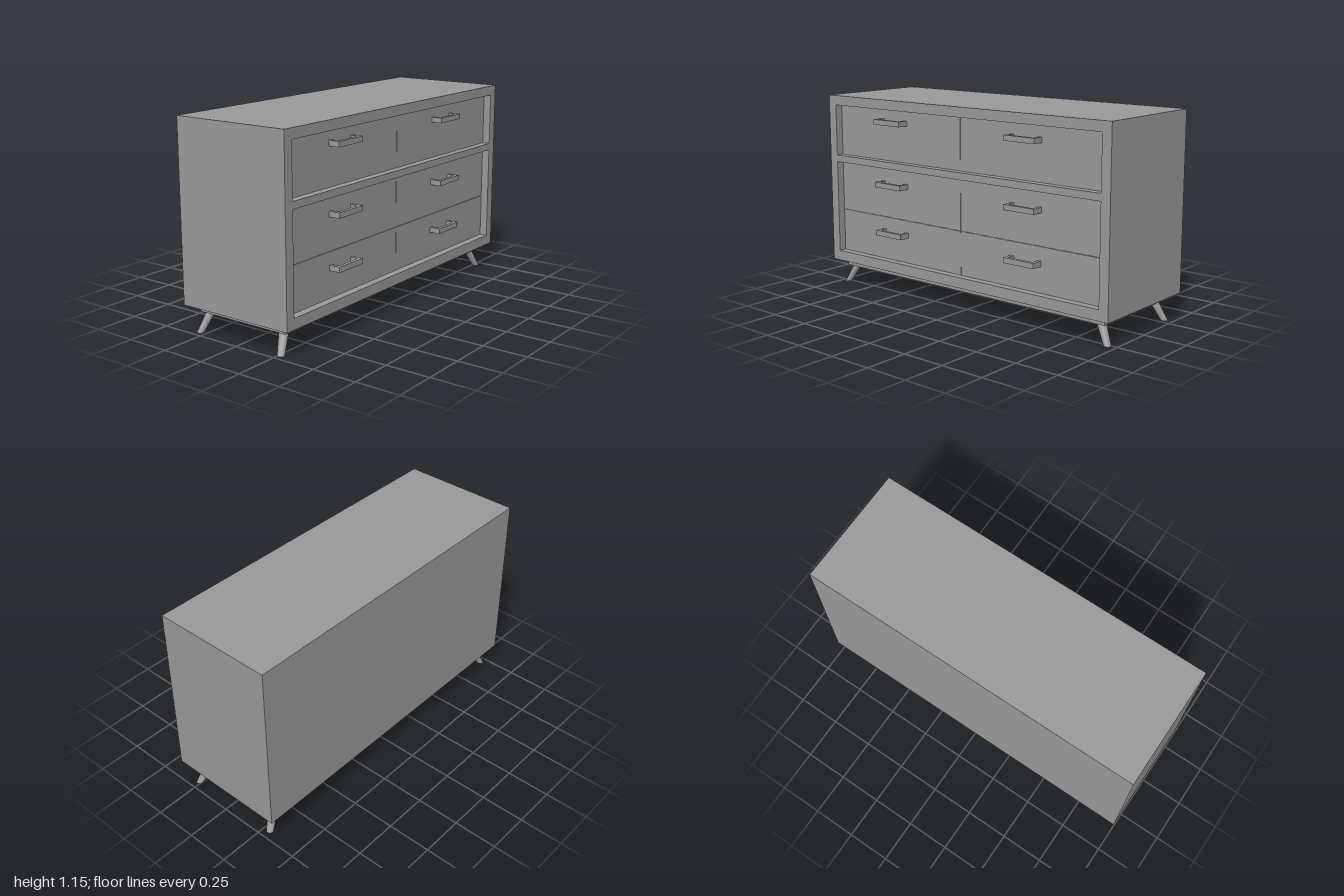
import * as THREE from 'three';

const material = new THREE.MeshStandardMaterial({ color: 0x9b9b9b });

function add(parent, name, geometry) {
  const mesh = new THREE.Mesh(geometry, material);
  mesh.name = name;
  parent.add(mesh);
  return mesh;
}

// Box given by its minimum and maximum corners
function box(parent, name, [x0, y0, z0], [x1, y1, z1]) {
  const geometry = new THREE.BoxGeometry(x1 - x0, y1 - y0, z1 - z0);
  geometry.translate((x0 + x1) / 2, (y0 + y1) / 2, (z0 + z1) / 2);
  return add(parent, name, geometry);
}

const polygon = (Type, points) => new Type(points.map(([x, y]) => new THREE.Vector2(x, y)));
const rectangle = (Type, x0, y0, x1, y1) =>
  polygon(Type, [[x0, y0], [x1, y0], [x1, y1], [x0, y1]]);

const FRONT = 0.34, BACK = -0.36, DRAWER = 0.295, RECESS = 0.275;
const BOTTOM = 0.147, TOP = 1.146, INNER = 0.944;

// U-shaped pull: a bar on two short posts
function handle(x, y) {
  const w = 0.1, t = 0.02, depth = 0.36 - DRAWER;
  const shape = polygon(THREE.Shape, [
    [-w, 0], [-w + t, 0], [-w + t, depth - t], [w - t, depth - t],
    [w - t, 0], [w, 0], [w, depth], [-w, depth],
  ]);
  const geometry = new THREE.ExtrudeGeometry(shape, { depth: 0.03, bevelEnabled: false });
  geometry.rotateX(Math.PI / 2);
  geometry.translate(x, y + 0.015, DRAWER);
  return geometry;
}

// Tapered leg, sheared so that it splays outwards with a level foot
function leg(topX, topZ, footX, footZ) {
  const height = 0.112;
  const geometry = new THREE.CylinderGeometry(0.026, 0.02, height, 24);
  geometry.translate(0, height / 2, 0);
  const p = geometry.attributes.position;
  for (let i = 0; i < p.count; i++) {
    const t = p.getY(i) / height;
    p.setX(i, p.getX(i) + THREE.MathUtils.lerp(footX, topX, t));
    p.setZ(i, p.getZ(i) + THREE.MathUtils.lerp(footZ, topZ, t));
  }
  geometry.computeVertexNormals();
  return geometry;
}

export function createModel() {
  const model = new THREE.Group();
  model.name = 'dresser';

  // Carcass and the front frame with its two openings
  box(model, 'carcass', [-1, BOTTOM, BACK], [1, TOP, RECESS]);
  const face = rectangle(THREE.Shape, -1, BOTTOM, 1, TOP);
  face.holes.push(
    rectangle(THREE.Path, -INNER, 0.792, INNER, 1.09),
    rectangle(THREE.Path, -INNER, 0.207, INNER, 0.752),
  );
  const frame = new THREE.ExtrudeGeometry(face, { depth: FRONT - RECESS, bevelEnabled: false });
  frame.translate(0, 0, RECESS);
  add(model, 'frontFrame', frame);

  // Six drawers: bottom, top and handle height of each row
  const rows = [[0.792, 1.09, 1.018], [0.458, 0.752, 0.655], [0.207, 0.456, 0.371]];
  for (const [y0, y1, handleY] of rows) {
    for (const side of [-1, 1]) {
      const drawer = new THREE.Group();
      drawer.name = side < 0 ? 'rightDrawer' : 'leftDrawer';
      const [x0, x1] = side < 0 ? [-INNER, -0.004] : [-0.002, INNER];
      box(drawer, 'drawerFront', [x0, y0, RECESS - 0.01], [x1, y1, DRAWER]);
      const pull = side < 0 ? handle(-0.505, handleY) : handle(0.45, handleY - 0.006);
      add(drawer, 'handle', pull);
      model.add(drawer);
    }
  }

  // Plinth and splayed legs
  box(model, 'plinth', [-0.94, 0.108, -0.3], [0.94, BOTTOM, 0.279]);
  for (const side of [-1, 1]) {
    const shift = -0.004;
    add(model, 'frontLeg', leg(side * 0.893 + shift, 0.234, side * 0.953 + shift, 0.262));
    add(model, 'backLeg', leg(side * 0.893 + shift, -0.26, side * 0.953 + shift, -0.288));
  }
  return model;
}
